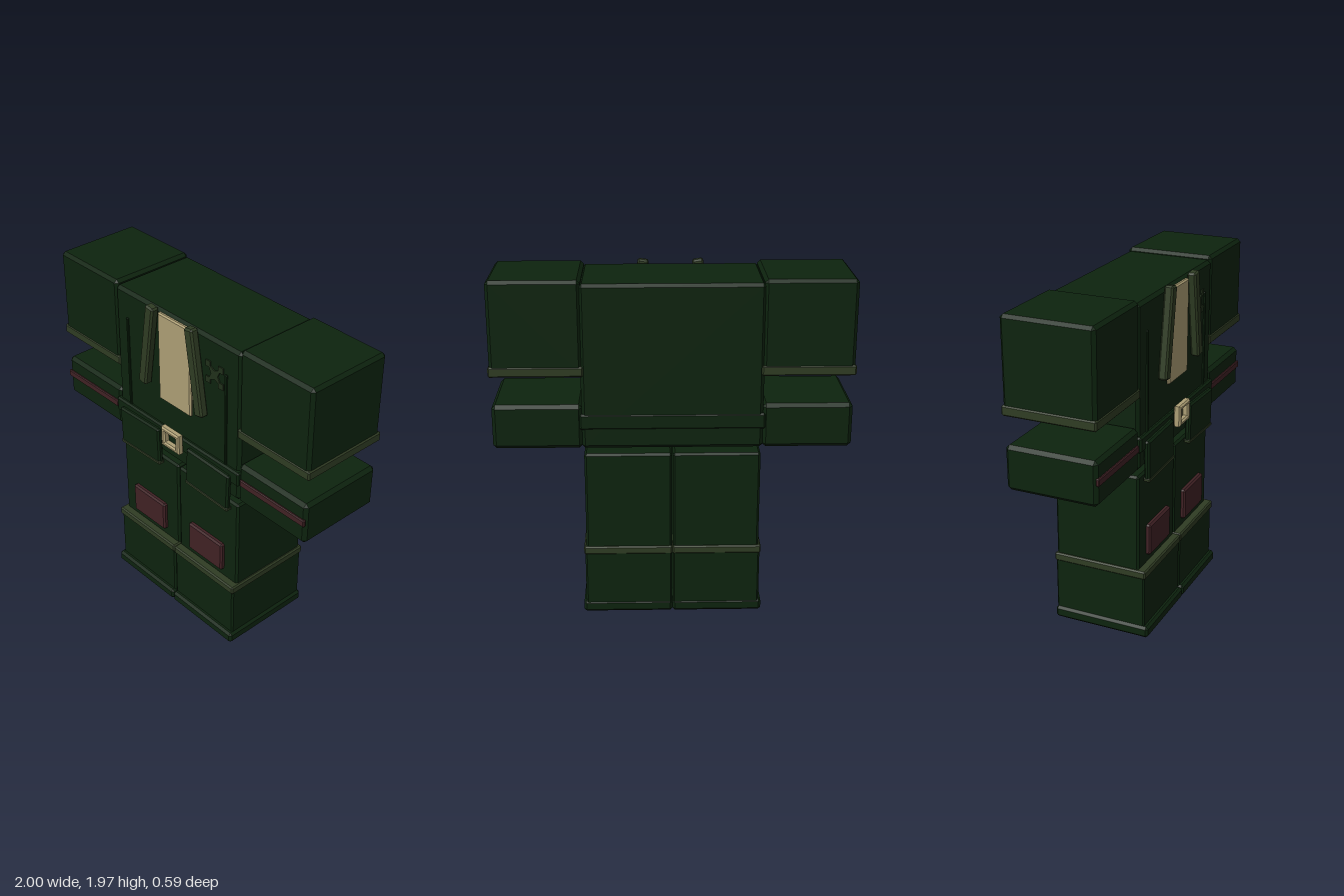
import * as THREE from 'three';
import { ConvexGeometry } from 'three/addons/geometries/ConvexGeometry.js';

const mat = (name, color) => Object.assign(new THREE.MeshStandardMaterial({ color }), { name });

// Box with flat chamfered edges, given by its minimum and maximum corners
function chamferBox(min, max, c) {
  const half = max.map((v, i) => (v - min[i]) / 2);
  const mid = max.map((v, i) => (v + min[i]) / 2);
  const points = [];
  for (const sx of [-1, 1]) for (const sy of [-1, 1]) for (const sz of [-1, 1]) {
    const s = [sx, sy, sz];
    for (let full = 0; full < 3; full++) {
      points.push(new THREE.Vector3(...s.map((v, i) => v * (half[i] - (i === full ? 0 : c)))));
    }
  }
  return new ConvexGeometry(points).translate(...mid);
}

export function createModel() {
  const green = mat('darkGreen', 0x0d230e);
  const olive = mat('olive', 0x2f3c23);
  const patchGreen = mat('patchGreen', 0x20301a);
  const maroon = mat('maroon', 0x402124);
  const tan = mat('tan', 0xad9f75);
  const model = new THREE.Group();
  model.name = 'uniform';

  const add = (parent, name, geometry, material) => {
    const mesh = new THREE.Mesh(geometry, material);
    mesh.name = name;
    parent.add(mesh);
    return mesh;
  };
  const box = (parent, name, material, min, max, c = 0.012) =>
    add(parent, name, chamferBox(min, max, c), material);

  // Coat body, belt and shirt
  box(model, 'torso', green, [-0.5, 1.02, -0.29], [0.5, 1.945, 0.235], 0.018);
  box(model, 'belt', green, [-0.512, 1.13, -0.295], [0.512, 1.22, 0.255], 0.01);
  box(model, 'shirt', tan, [-0.13, 1.39, 0.22], [0.13, 1.93, 0.25], 0.008);

  // Buckle: a square frame
  const frame = new THREE.Shape();
  frame.moveTo(-0.065, -0.052).lineTo(0.065, -0.052).lineTo(0.065, 0.052).lineTo(-0.065, 0.052).closePath();
  const hole = new THREE.Path();
  hole.moveTo(-0.053, -0.042).lineTo(-0.053, 0.042).lineTo(0.053, 0.042).lineTo(0.053, -0.042).closePath();
  frame.holes.push(hole);
  const buckle = new THREE.ExtrudeGeometry(frame, {
    depth: 0.025, bevelEnabled: true, bevelSize: 0.009, bevelThickness: 0.009, bevelSegments: 1,
  });
  add(model, 'buckle', buckle, tan).position.set(0, 1.188, 0.26);

  // Chest patch: a cross with a notch in each side
  const cross = [];
  for (let i = 0; i < 4; i++) {
    for (const [x, y] of [[0.025, 0], [0.04, 0.03], [0.066, 0.03], [0.066, 0.066], [0.03, 0.066], [0.03, 0.04]]) {
      cross.push(new THREE.Vector2(x, y).rotateAround(new THREE.Vector2(), i * Math.PI / 2));
    }
  }
  const patch = new THREE.ExtrudeGeometry(new THREE.Shape(cross), { depth: 0.008, bevelEnabled: false });
  add(model, 'chestPatch', patch, patchGreen).position.set(0.31, 1.74, 0.234);

  for (const s of [-1, 1]) {
    const side = s > 0 ? 'left' : 'right';
    // Mirrors an x range to this side
    const part = (parent, name, material, x0, x1, y0, y1, z0, z1, c) =>
      box(parent, name, material, [Math.min(s * x0, s * x1), y0, z0], [Math.max(s * x0, s * x1), y1, z1], c);

    // Sleeve with its trim, and the forearm with its stripe
    const arm = new THREE.Group();
    arm.name = side + 'Arm';
    part(arm, 'sleeve', green, 0.49, 0.993, 1.445, 1.965, -0.29, 0.235, 0.018);
    part(arm, 'sleeveTrim', olive, 0.485, 1, 1.435, 1.492, -0.295, 0.24, 0.008);
    part(arm, 'forearm', green, 0.495, 0.992, 1.02, 1.272, -0.29, 0.235, 0.02);
    part(arm, 'armStripe', maroon, 0.515, 0.988, 1.14, 1.182, 0.225, 0.246, 0.005);

    // Trouser leg, boot and knee patch
    const leg = new THREE.Group();
    leg.name = side + 'Leg';
    part(leg, 'trouserLeg', green, 0.002, 0.492, 0.05, 0.982, -0.28, 0.23, 0.012);
    part(leg, 'boot', green, 0.002, 0.5, 0.02, 0.39, -0.285, 0.268, 0.01);
    part(leg, 'bootTrim', olive, 0, 0.506, 0.368, 0.417, -0.29, 0.277, 0.008);
    part(leg, 'sole', green, 0, 0.514, 0, 0.068, -0.29, 0.295, 0.014);
    part(leg, 'kneePatch', maroon, 0.108, 0.388, 0.462, 0.65, 0.22, 0.256, 0.01);

    // Collar lapel, leaning outward towards the bottom
    const lapel = box(model, side + 'Lapel', olive, [-0.032, -0.255, -0.026], [0.032, 0.255, 0.026], 0.01);
    lapel.position.set(s * 0.193, 1.71, 0.263);
    lapel.rotation.z = s * 0.155;

    // Coat seam and hanging flap
    part(model, side + 'CoatSeam', green, 0.39, 0.405, 1.2, 1.78, 0.225, 0.245, 0.003);
    const flap = new THREE.Group();
    flap.name = side + 'Flap';
    box(flap, 'flapPanel', green, [-0.17, -0.115, -0.017], [0.17, 0.115, 0.017], 0.01);
    box(flap, 'flapTrim', olive, [-0.172, -0.125, -0.02], [0.172, -0.1, 0.02], 0.006);
    flap.position.set(s * 0.285, 1.072, 0.26);
    flap.rotation.z = -s * 0.03;
    model.add(arm, leg, flap);
  }
  return model;
}
